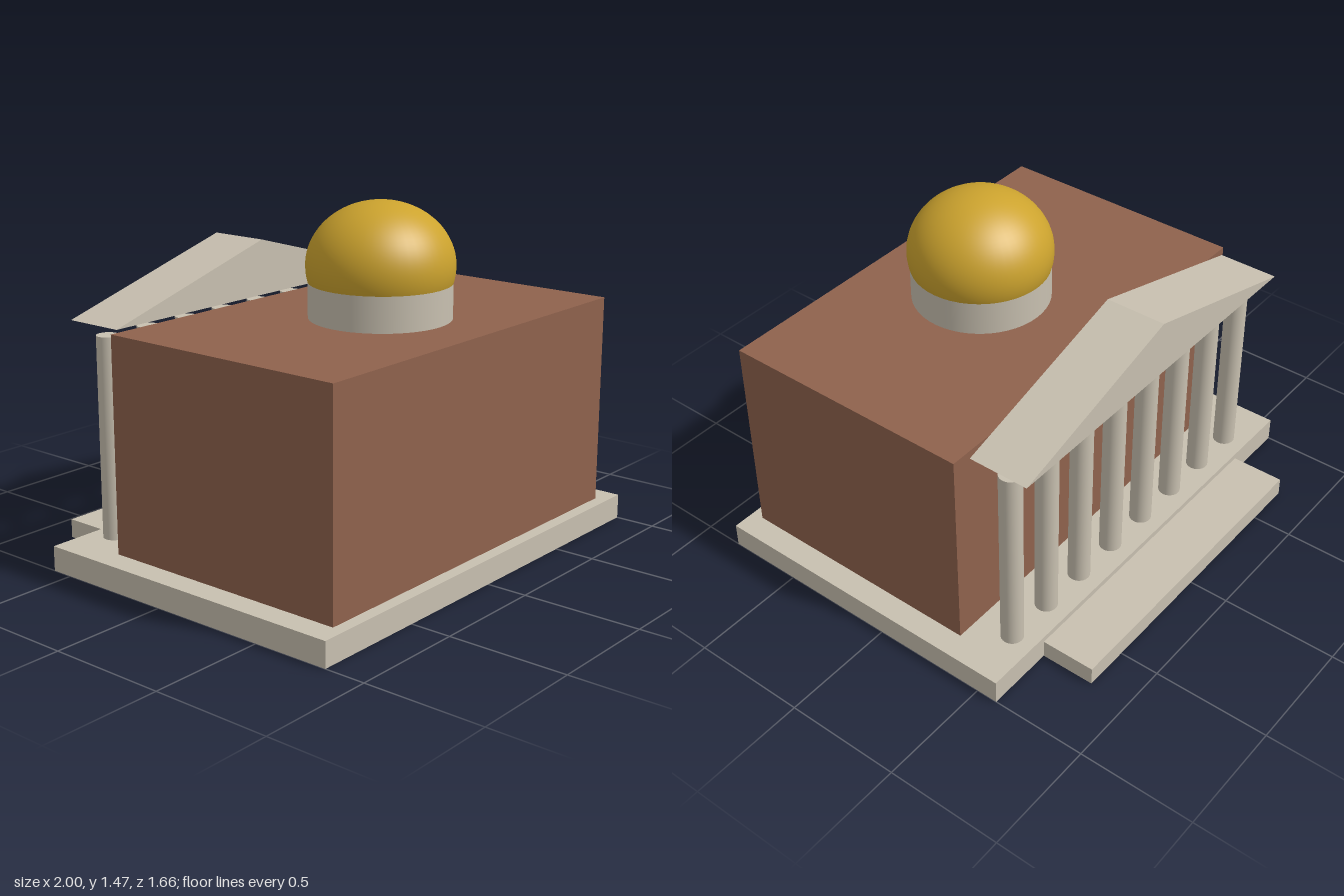
import * as THREE from 'three';

const stone = new THREE.MeshStandardMaterial({ color: 0xc8c0b0 });
const brick = new THREE.MeshStandardMaterial({ color: 0x8f624d });
const gold = new THREE.MeshStandardMaterial({ color: 0xcca32e });

export function createModel() {
  const model = new THREE.Group();
  model.name = 'domedHall';

  const add = (name, geometry, material, x = 0, y = 0, z = 0) => {
    const mesh = new THREE.Mesh(geometry, material);
    mesh.name = name;
    mesh.position.set(x, y, z);
    model.add(mesh);
    return mesh;
  };

  // Box given by its width and its y and z limits, centred on x = 0
  const addBox = (name, material, width, y0, y1, z0, z1) =>
    add(name, new THREE.BoxGeometry(width, y1 - y0, z1 - z0), material, 0, (y0 + y1) / 2, (z0 + z1) / 2);

  // Plinth, entrance step and main block
  addBox('plinth', stone, 2, 0, 0.105, -0.593, 0.828);
  addBox('entranceStep', stone, 1.4, 0, 0.08, -0.828, -0.593);
  addBox('mainBlock', brick, 1.79, 0.105, 1.0, -0.328, 0.775);

  // Drum and its flattened dome, cut where it meets the drum
  const domeZ = 0.277;
  const domeWidth = 0.3;
  const domeHeight = 0.26;
  add('drum', new THREE.CylinderGeometry(0.29, 0.29, 0.145, 48), stone, 0, 1.0725, domeZ);
  const dome = new THREE.SphereGeometry(1, 48, 24, 0, Math.PI * 2, 0, Math.acos(-0.25));
  dome.scale(domeWidth, domeHeight, domeWidth);
  add('dome', dome, gold, 0, 1.21, domeZ);

  // Row of portico columns
  const count = 8;
  const reach = 0.766;
  const column = new THREE.CylinderGeometry(0.047, 0.047, 0.845, 24);
  for (let i = 0; i < count; i++) {
    const x = -reach + (2 * reach * i) / (count - 1);
    add(`column${i + 1}`, column, stone, x, 0.5275, -0.487);
  }

  // Triangular pediment over the columns
  const gable = new THREE.Shape([
    new THREE.Vector2(-0.838, 0),
    new THREE.Vector2(0.838, 0),
    new THREE.Vector2(0, 0.237),
  ]);
  const pediment = new THREE.ExtrudeGeometry(gable, { depth: 0.262, bevelEnabled: false });
  add('pediment', pediment, stone, 0, 1.003, -0.619);

  return model;
}
